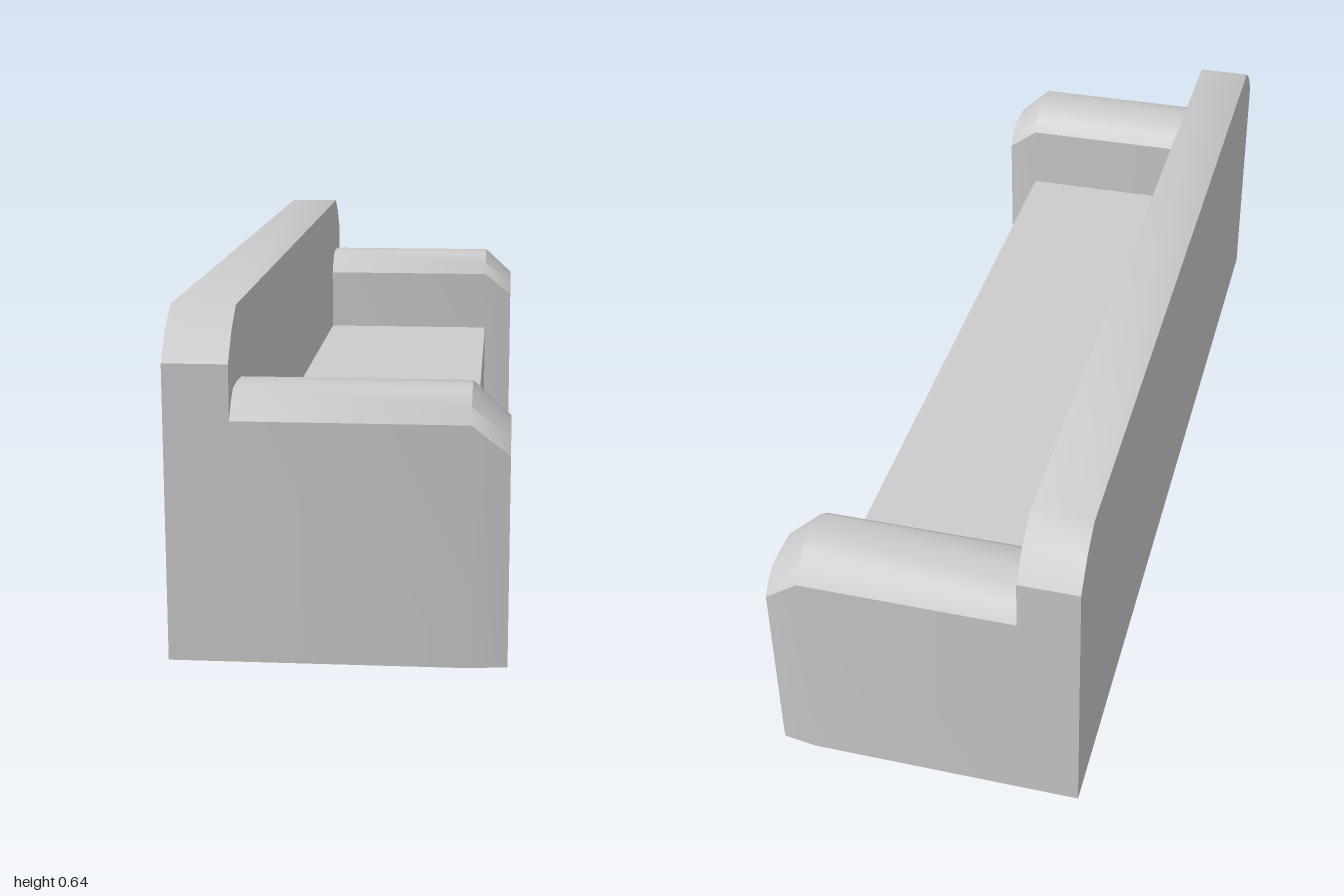
import * as THREE from 'three';
import { toCreasedNormals } from 'three/addons/utils/BufferGeometryUtils.js';

const material = new THREE.MeshStandardMaterial({ color: 0xcccccc });

// Mirror half of a [z, y] outline about z = 0 to make a closed outline
const mirrored = (half) => [...half, ...half.filter(([z]) => z > 0).reverse().map(([z, y]) => [-z, y])];

// Skin a run of equal-length outlines [{ x, outline }] along x, with end caps
function loft(sections) {
  const n = sections[0].outline.length;
  const positions = sections.flatMap(({ x, outline }) => outline.flatMap(([z, y]) => [x, y, z]));
  const index = [];
  for (let s = 0; s < sections.length - 1; s++) {
    for (let i = 0; i < n; i++) {
      const a = s * n + i, b = s * n + (i + 1) % n;
      index.push(a, a + n, b, b, a + n, b + n);
    }
  }
  const last = (sections.length - 1) * n;
  for (let i = 1; i < n - 1; i++) {
    index.push(0, i, i + 1, last, last + i + 1, last + i);
  }
  const geometry = new THREE.BufferGeometry();
  geometry.setAttribute('position', new THREE.Float32BufferAttribute(positions, 3));
  geometry.setIndex(index);
  return toCreasedNormals(geometry, 0.62);
}

function addPart(group, name, geometry, z = 0) {
  const mesh = new THREE.Mesh(geometry, material);
  mesh.name = name;
  mesh.position.z = z;
  group.add(mesh);
}

export function createModel() {
  const group = new THREE.Group();
  group.name = 'sofa';

  // Tall backrest with rounded upper corners
  const back = mirrored([[1, 0], [1, 0.555], [0.955, 0.608], [0.9, 0.645]]);
  addPart(group, 'backrest', loft([{ x: -0.31, outline: back }, { x: -0.19, outline: back }]));

  // Solid seat block
  const seat = new THREE.BoxGeometry(0.43, 0.3, 1.6);
  seat.translate(0.025, 0.15, 0);
  addPart(group, 'seat', seat);

  // Armrests with a rounded top, tapering at the front
  const arm = mirrored([[0.1, 0], [0.1, 0.452], [0.078, 0.48], [0.05, 0.502], [0, 0.505]]);
  const tip = mirrored([[0.09, 0], [0.09, 0.395], [0.07, 0.421], [0.045, 0.438], [0, 0.44]]);
  const armGeometry = loft([
    { x: -0.19, outline: arm },
    { x: 0.24, outline: arm },
    { x: 0.31, outline: tip },
  ]);
  addPart(group, 'leftArmrest', armGeometry, -0.9);
  addPart(group, 'rightArmrest', armGeometry, 0.9);

  return group;
}
